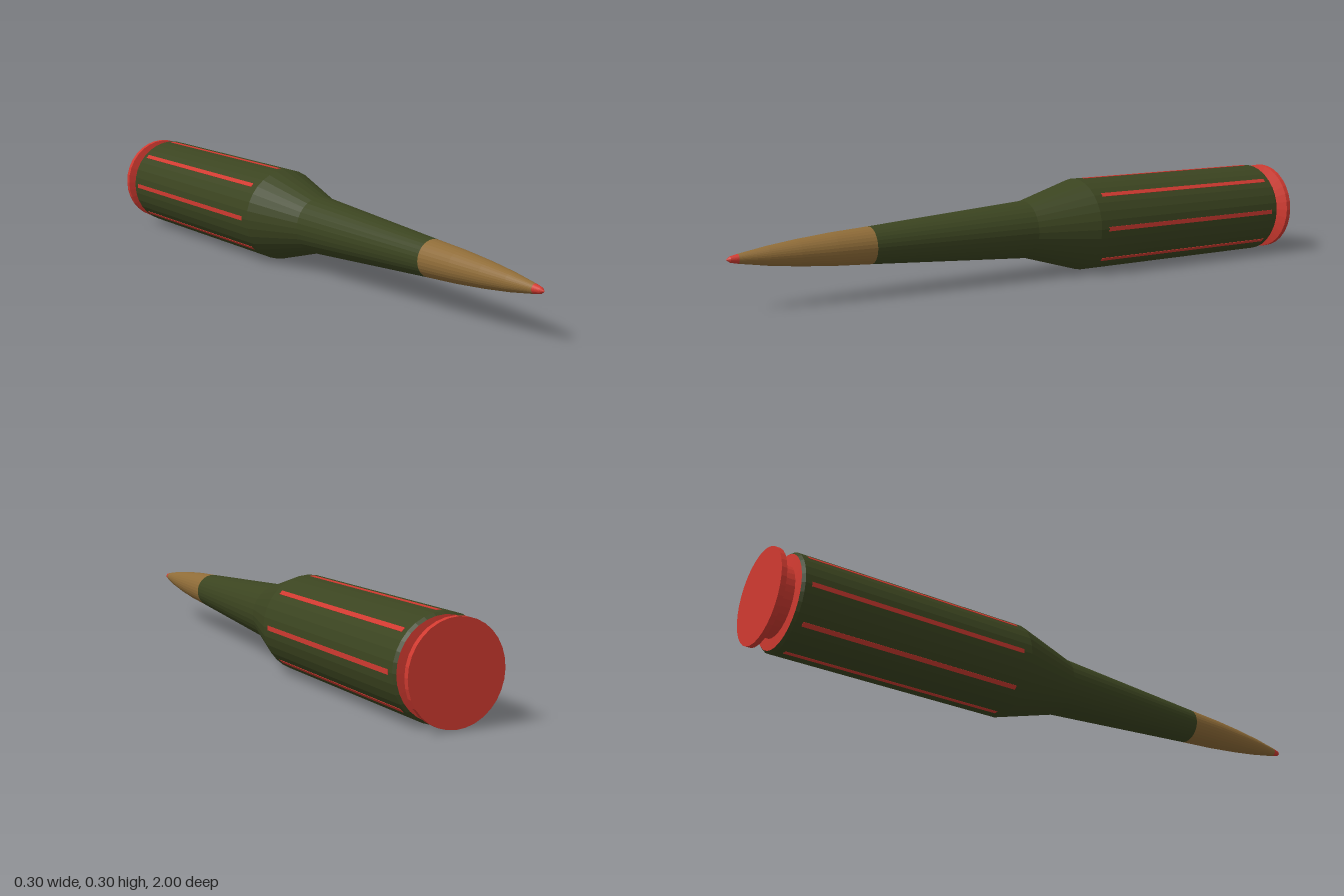
import * as THREE from 'three';

const SIDES = 32;
const R = 0.148; // largest radius, also the height of the axis

const paint = (color) => new THREE.MeshStandardMaterial({ color, flatShading: true });

// Turned part: profile of [radius, z] from back to front
function turned(name, profile, material) {
  const points = profile.map(([r, z]) => new THREE.Vector2(r, z));
  const geometry = new THREE.LatheGeometry(points, SIDES).rotateX(Math.PI / 2);
  const mesh = new THREE.Mesh(geometry, material);
  mesh.name = name;
  return mesh;
}

export function createModel() {
  const model = new THREE.Group();
  model.name = 'cartridge';
  const green = paint(0x3b4420);
  const red = paint(0xd03a30);
  const tan = paint(0x8f6c38);

  const round = new THREE.Group();
  round.name = 'round';
  round.position.y = R;
  model.add(round);

  // Rim, extractor groove and rear face of the case
  round.add(turned('rim', [
    [0, -1], [0.145, -1], [0.145, -0.984], [0.107, -0.972],
    [0.107, -0.942], [0.141, -0.939],
  ], red));

  // Case body, shoulder and tapered neck
  round.add(turned('case', [
    [0.141, -0.939], [R, -0.93], [R, -0.18], [0.091, 0.02], [0.056, 0.56],
  ], green));

  // Pointed nose with a coloured tip
  round.add(turned('nose', [
    [0.056, 0.56], [0.049, 0.68], [0.039, 0.79], [0.028, 0.88], [0.014, 0.965],
  ], tan));
  round.add(turned('tip', [[0.014, 0.965], [0.009, 0.988], [0, 1]], red));

  // Eight inlaid strips along the body
  const stripGeometry = new THREE.BoxGeometry(0.014, 0.012, 0.7).translate(0, R - 0.0055, -0.56);
  for (let i = 0; i < 8; i++) {
    const strip = new THREE.Mesh(stripGeometry, red);
    strip.name = 'strip';
    strip.rotation.z = (i * Math.PI) / 4;
    round.add(strip);
  }
  return model;
}
